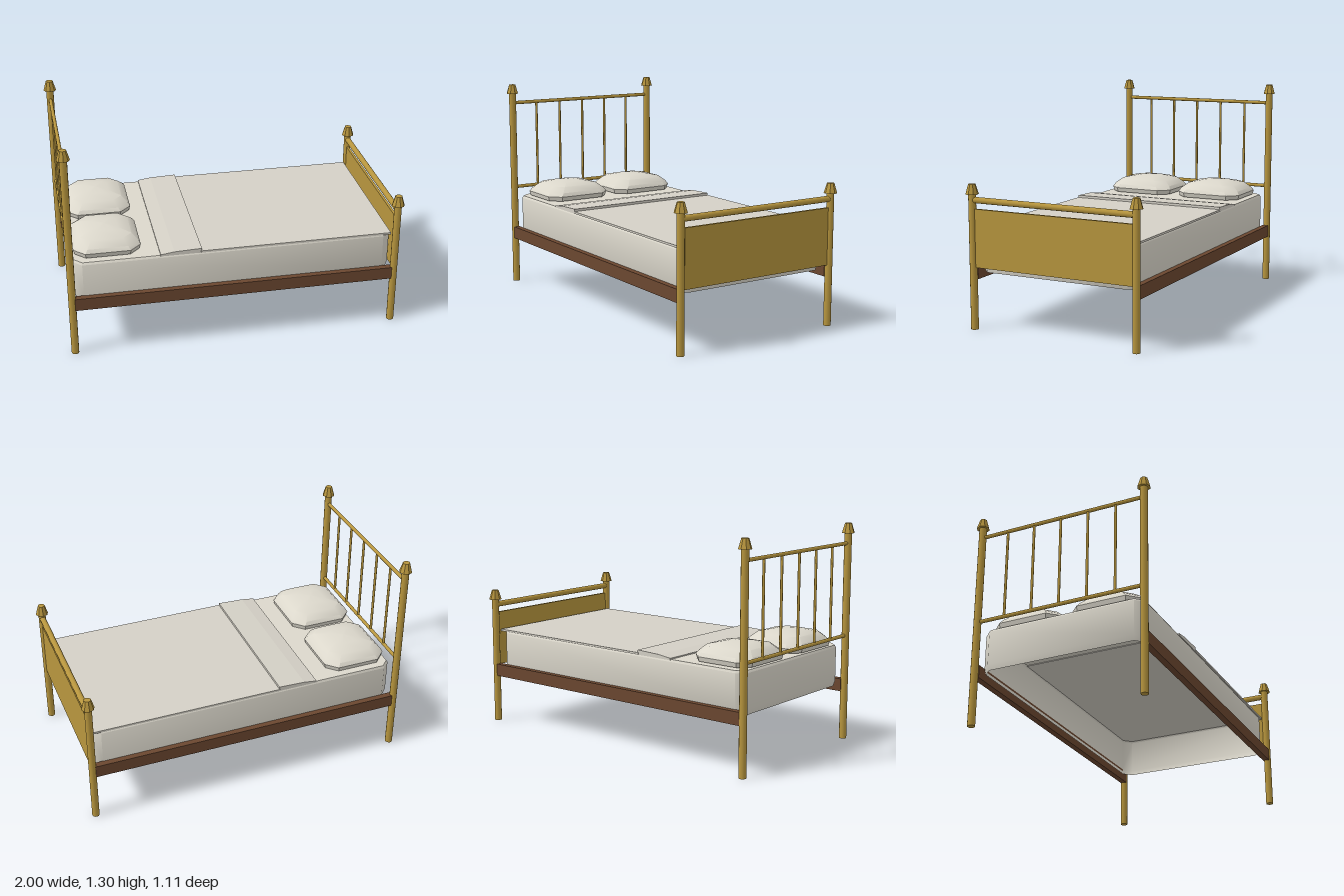
import * as THREE from 'three';
import { toCreasedNormals } from 'three/addons/utils/BufferGeometryUtils.js';

const brass = new THREE.MeshStandardMaterial({ color: 0xb8963e });
const brassFlat = new THREE.MeshStandardMaterial({ color: 0xb8963e, flatShading: true });
const wood = new THREE.MeshStandardMaterial({ color: 0x6b4730 });
const linen = new THREE.MeshStandardMaterial({ color: 0xdcd8cc, side: THREE.DoubleSide });
const cover = new THREE.MeshStandardMaterial({ color: 0xd4d0c6, side: THREE.DoubleSide });

const POST_X = 0.96, POST_Z = 0.515;

function add(parent, name, geometry, material, x = 0, y = 0, z = 0) {
  const mesh = new THREE.Mesh(geometry, material);
  mesh.name = name;
  mesh.position.set(x, y, z);
  parent.add(mesh);
  return mesh;
}

// Horizontal tube across the bed, between the two posts of one end
function crossTube(parent, name, radius, x, y) {
  add(parent, name, new THREE.CylinderGeometry(radius, radius, POST_Z * 2, 10), brass, x, y, 0).rotation.x = Math.PI / 2;
}

// Stack of rectangles with cut corners, rings given as [y, halfX, halfZ, cut]
function loft(rings, { top = true, bottom = false, crease = 0.9 } = {}) {
  const positions = [];
  const loops = rings.map(([y, hx, hz, c]) => [
    [hx, hz - c], [hx - c, hz], [c - hx, hz], [-hx, hz - c],
    [-hx, c - hz], [c - hx, -hz], [hx - c, -hz], [hx, c - hz],
  ].map(([x, z]) => [x, y, z]));
  const tri = (...corners) => corners.forEach((p) => positions.push(...p));
  for (let i = 0; i < loops.length - 1; i++) {
    for (let j = 0; j < 8; j++) {
      const k = (j + 1) % 8;
      tri(loops[i][j], loops[i + 1][j], loops[i + 1][k]);
      tri(loops[i][j], loops[i + 1][k], loops[i][k]);
    }
  }
  const first = loops[0], last = loops[loops.length - 1];
  for (let j = 0; j < 8; j++) {
    const k = (j + 1) % 8;
    if (top) tri([0, last[0][1], 0], last[k], last[j]);
    if (bottom) tri([0, first[0][1], 0], first[j], first[k]);
  }
  const geometry = new THREE.BufferGeometry();
  geometry.setAttribute('position', new THREE.Float32BufferAttribute(positions, 3));
  geometry.computeVertexNormals();
  return toCreasedNormals(geometry, crease);
}

// Post with its tapered finial
function post(parent, name, x, z, height) {
  const group = new THREE.Group();
  group.name = name;
  group.position.set(x, 0, z);
  add(group, 'shaft', new THREE.CylinderGeometry(0.022, 0.022, height, 12), brass, 0, height / 2, 0);
  add(group, 'finial', new THREE.CylinderGeometry(0.021, 0.038, 0.058, 8), brassFlat, 0, height + 0.029, 0);
  parent.add(group);
}

export function createModel() {
  const bed = new THREE.Group();
  bed.name = 'bed';

  // Posts and side rails, mirrored across the bed
  for (const side of [-1, 1]) {
    post(bed, 'headPost', -POST_X, side * POST_Z, 1.24);
    post(bed, 'footPost', POST_X, side * POST_Z, 0.777);
    add(bed, 'sideRail', new THREE.BoxGeometry(1.9, 0.075, 0.038), wood, 0, 0.328, side * 0.511);
  }

  // Headboard: two tubes joined by spindles
  crossTube(bed, 'headTopRail', 0.011, -POST_X, 1.18);
  crossTube(bed, 'headLowerRail', 0.011, -POST_X, 0.63);
  for (let i = -2; i <= 2; i++) {
    add(bed, 'spindle', new THREE.CylinderGeometry(0.008, 0.008, 0.55, 8), brass, -POST_X, 0.905, i * 0.1715);
  }

  // Footboard: thick tube above a plain panel
  crossTube(bed, 'footTopRail', 0.018, POST_X, 0.745);
  add(bed, 'footPanel', new THREE.BoxGeometry(0.016, 0.335, 0.995), brass, POST_X, 0.5275, 0);

  // Mattress: shell open underneath, tucked in slightly at the hem
  add(bed, 'mattress', loft([
    [0.33, 0.93, 0.486, 0.045],
    [0.365, 0.94, 0.495, 0.05],
    [0.565, 0.94, 0.495, 0.05],
    [0.578, 0.932, 0.487, 0.045],
  ]), linen);

  // Blanket, and its turned-down edge rising towards the fold
  add(bed, 'blanket', new THREE.BoxGeometry(1.14, 0.012, 0.994), cover, 0.365, 0.581, 0);
  const fold = new THREE.Shape([[-0.44, 0.574], [-0.2, 0.574], [-0.2, 0.602], [-0.36, 0.596], [-0.44, 0.585]]
    .map(([x, y]) => new THREE.Vector2(x, y)));
  add(bed, 'blanketFold', new THREE.ExtrudeGeometry(fold, { depth: 0.988, bevelEnabled: false }), cover, 0, 0, -0.494);

  // Pair of pillows
  for (const side of [-1, 1]) {
    add(bed, 'pillow', loft([
      [0, 0.187, 0.205, 0.06],
      [0.028, 0.195, 0.2125, 0.065],
      [0.05, 0.182, 0.198, 0.065],
      [0.083, 0.148, 0.158, 0.055],
      [0.1, 0.075, 0.08, 0.03],
      [0.107, 0.012, 0.012, 0.005],
    ], { bottom: true, crease: 0.62 }), linen, -0.735, 0.583, side * 0.2425);
  }

  return bed;
}
